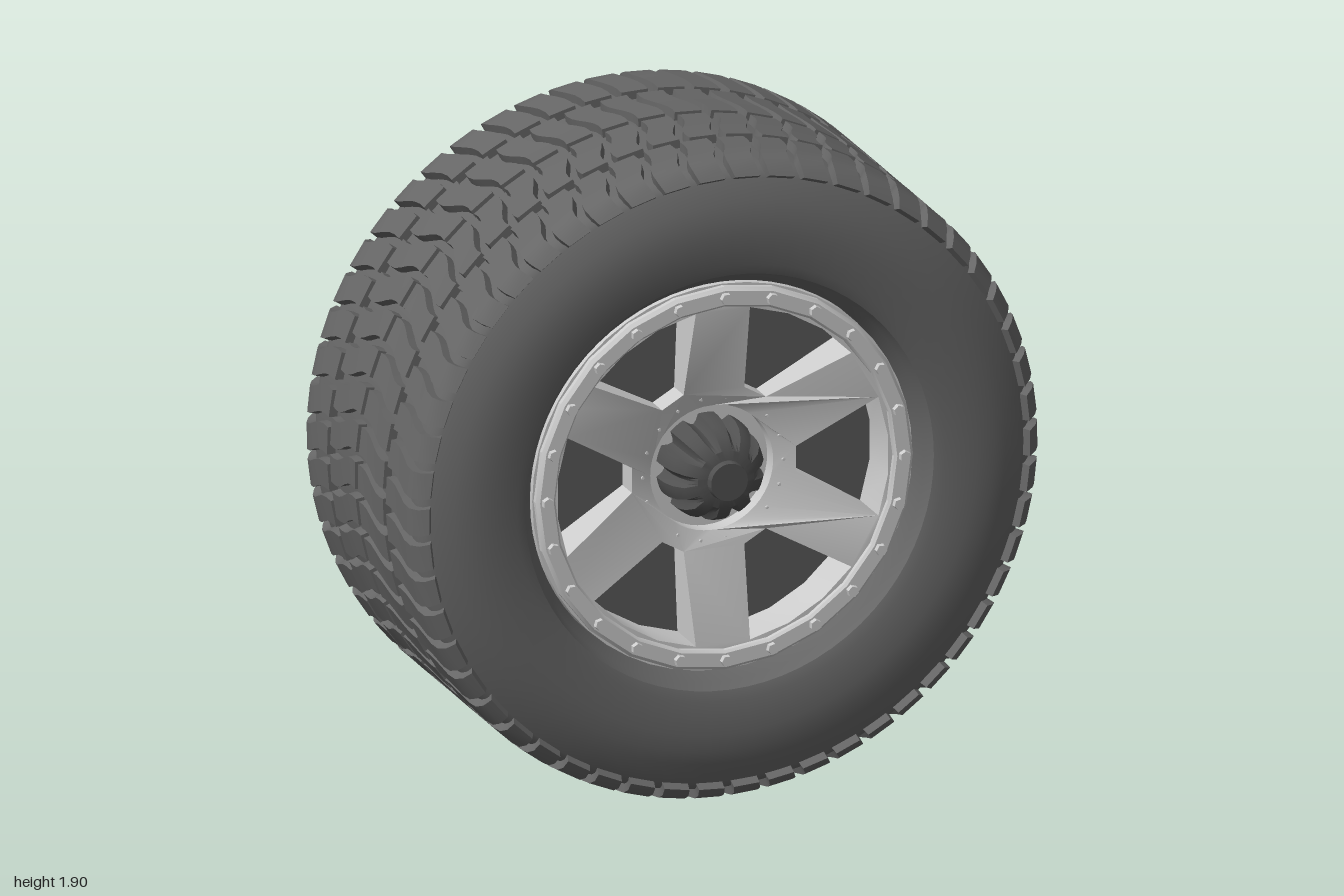
import * as THREE from 'three';
import { toCreasedNormals } from 'three/addons/utils/BufferGeometryUtils.js';

const RADIUS = 0.95, PITCHES = 54;
const mat = (color) => new THREE.MeshStandardMaterial({ color });
const rubber = mat(0x666666), metal = mat(0xcccccc), darkMetal = mat(0x595959), hubMat = mat(0x505050);

function add(group, name, geo, material, crease = 0.5) {
  const m = new THREE.Mesh(toCreasedNormals(geo, crease), material);
  m.name = name;
  group.add(m);
  return m;
}

// Lathe around the z axis from [radius, z] pairs
function latheZ(pts, segs) {
  return new THREE.LatheGeometry(pts.map(([r, z]) => new THREE.Vector2(r, z)), segs).rotateX(Math.PI / 2);
}

// Tyre section with a rounded shoulder: distance s across the tread -> [radius, z]
function shoulder(s, rad) {
  const a = Math.abs(s);
  if (a <= 0.36) return [0.86 + rad, s];
  const t = (a - 0.36) / 0.09;
  return [0.86 + rad * Math.cos(t), Math.sign(s) * (0.36 + rad * Math.sin(t))];
}

function tyreBody() {
  const half = [];
  for (let i = 0; i <= 5; i++) half.push(shoulder(0.36 + i * 0.019, 0.065));
  half.push([0.83, 0.437], [0.79, 0.448], [0.74, 0.45], [0.645, 0.447], [0.615, 0.435], [0.6, 0.4], [0.575, 0.37]);
  const back = half.map(([r, z]) => [r, -z]).reverse();
  return latheZ([...back, ...half, back[0]], 72);
}

// Four columns of wavy blocks forming a chevron pattern
function treadBlocks() {
  const pos = [], N = 7, pitch = (Math.PI * 2) / PITCHES;
  const quad = (a, b, c, d) => pos.push(...a, ...b, ...c, ...a, ...c, ...d);
  const point = (s, phi, rad) => {
    const [r, z] = shoulder(s, rad);
    return [r * Math.cos(phi), r * Math.sin(phi), z];
  };
  const columns = [[-0.455, -0.222], [-0.2, -0.011], [0.011, 0.2], [0.222, 0.455]];
  columns.forEach(([s0, s1], c) => {
    const outer = c === 0 || c === 3;
    for (let k = 0; k < PITCHES; k++) {
      const loops = [];
      for (let i = 0; i <= N; i++) {
        const u = i / N, s = s0 + (s1 - s0) * u;
        // chevron slope plus an S-shaped wiggle inside every block
        const v = Math.min(Math.abs(s), 0.36);
        const wiggle = 0.011 * Math.sin(u * Math.PI * 2) * (s < 0 ? 1 : -1);
        const mid = (k + (outer ? 0.3 : 0)) * pitch + 0.22 * v + wiggle;
        const h = pitch * 0.385;
        loops.push([point(s, mid - h, 0.058), point(s, mid - h * 0.94, 0.09),
          point(s, mid + h * 0.94, 0.09), point(s, mid + h, 0.058)]);
      }
      for (let i = 0; i < N; i++)
        for (let j = 0; j < 3; j++)
          quad(loops[i][j], loops[i][j + 1], loops[i + 1][j + 1], loops[i + 1][j]);
      quad(...[...loops[0]].reverse());
      quad(...loops[N]);
    }
  });
  const g = new THREE.BufferGeometry();
  g.setAttribute('position', new THREE.Float32BufferAttribute(pos, 3));
  return g;
}

// Dished plate with six wedge windows
function spokePlate() {
  const shape = new THREE.Shape().absarc(0, 0, 0.53, 0, Math.PI * 2, false);
  shape.holes.push(new THREE.Path().absarc(0, 0, 0.185, 0, Math.PI * 2, true));
  for (let i = 0; i < 6; i++) {
    const a = (i * Math.PI) / 3, at = (r, d) => new THREE.Vector2(r * Math.cos(a + d), r * Math.sin(a + d));
    shape.holes.push(new THREE.Path([at(0.25, -0.15), at(0.25, 0.15), at(0.5, 0.36), at(0.5, 0.12), at(0.5, -0.12), at(0.5, -0.36)]));
  }
  const g = new THREE.ExtrudeGeometry(shape, { depth: 1, bevelEnabled: false, curveSegments: 24 });
  const p = g.attributes.position;
  for (let i = 0; i < p.count; i++) {
    const r = Math.hypot(p.getX(i), p.getY(i));
    const front = 0.3 + 0.085 * THREE.MathUtils.clamp((r - 0.185) / 0.315, 0, 1);
    p.setZ(i, p.getZ(i) > 0.5 ? front : 0.245);
  }
  return g;
}

// Tapered hub cap with rounded flutes cut in its side
function flutedHub() {
  const g = latheZ([[0, 0.25], [0.15, 0.25], [0.15, 0.28], [0.148, 0.31], [0.138, 0.35], [0.118, 0.385],
    [0.085, 0.41], [0.058, 0.415], [0.055, 0.435], [0, 0.435]], 80);
  const p = g.attributes.position;
  for (let i = 0; i < p.count; i++) {
    const x = p.getX(i), y = p.getY(i), r = Math.hypot(x, y);
    if (r < 0.1) continue;
    const f = 1 - 0.17 * Math.max(0, Math.cos(10 * Math.atan2(y, x)));
    p.setXY(i, x * f, y * f);
  }
  return g;
}

// Ring of bolts facing along z
function boltRing(group, name, count, ringR, z, r, h, sides = 6) {
  const ring = new THREE.Group();
  ring.name = name;
  for (let i = 0; i < count; i++) {
    const a = (i / count) * Math.PI * 2;
    const b = add(ring, 'bolt', new THREE.CylinderGeometry(r * 0.9, r, h, sides).rotateX(Math.PI / 2), metal);
    b.position.set(ringR * Math.cos(a), ringR * Math.sin(a), z);
    b.rotation.z = a;
  }
  group.add(ring);
}

export function createModel() {
  const model = new THREE.Group();
  model.name = 'wheel';
  const wheel = new THREE.Group();
  wheel.name = 'wheelAssembly';
  wheel.position.y = RADIUS;
  wheel.rotation.y = THREE.MathUtils.degToRad(-33);
  model.add(wheel);

  // Tyre
  add(wheel, 'tyre', tyreBody(), rubber, 0.7);
  add(wheel, 'treadBlocks', treadBlocks(), rubber, 0.4);

  // Rim
  add(wheel, 'spokePlate', spokePlate(), metal, 0.3);
  add(wheel, 'beadRing', latheZ([[0.51, 0.37], [0.568, 0.37], [0.568, 0.395], [0.558, 0.405], [0.517, 0.405], [0.51, 0.398], [0.51, 0.37]], 24), metal, 0.2);
  add(wheel, 'rimEdge', latheZ([[0.525, 0.245], [0.572, 0.245], [0.572, 0.38], [0.525, 0.38]], 48), metal);
  boltRing(wheel, 'beadBolts', 24, 0.537, 0.41, 0.018, 0.02);
  boltRing(wheel, 'spokeBolts', 18, 0.212, 0.309, 0.005, 0.01);

  // Backing disc and hub
  add(wheel, 'backingDisc', latheZ([[0.23, 0.215], [0.535, 0.215], [0.535, 0.243], [0.23, 0.243], [0.23, 0.215]], 48), darkMetal);
  add(wheel, 'hubSleeve', latheZ([[0.2, 0.2], [0.23, 0.2], [0.23, 0.26], [0.2, 0.26], [0.2, 0.2]], 48), darkMetal);
  add(wheel, 'hubPlate', latheZ([[0, 0.225], [0.2, 0.225], [0.2, 0.255], [0, 0.255]], 48), metal);
  boltRing(wheel, 'hubPlateBolts', 8, 0.155, 0.222, 0.012, 0.012);
  add(wheel, 'hubCap', flutedHub(), hubMat, 0.6);
  return model;
}
